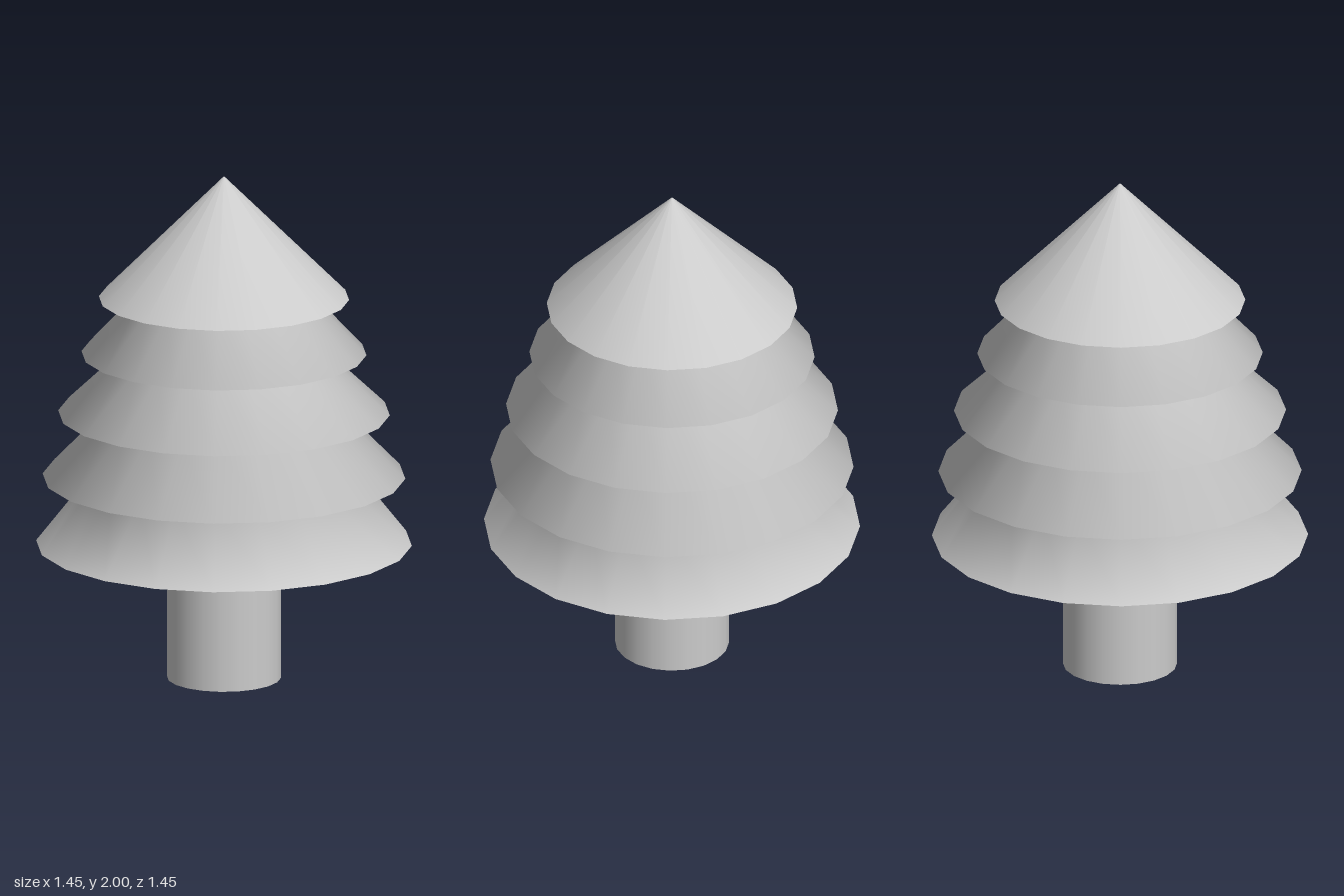
import * as THREE from 'three';

const SIDES = 20;

// Each tier: height of its rim, rim radius, radius where it meets the tier above
const TIERS = [
  { y: 0.535, rim: 0.725, neck: 0.515 },
  { y: 0.802, rim: 0.70, neck: 0.455 },
  { y: 1.055, rim: 0.64, neck: 0.39 },
  { y: 1.293, rim: 0.55, neck: 0.345 },
];
const TOP = { y: 1.513, rim: 0.483, tip: 2 };

export function createModel() {
  const tree = new THREE.Group();
  tree.name = 'tree';
  const material = new THREE.MeshStandardMaterial({ color: 0xcccccc });

  function add(name, geometry, y = 0) {
    const mesh = new THREE.Mesh(geometry, material);
    mesh.name = name;
    mesh.position.y = y;
    tree.add(mesh);
    return mesh;
  }

  // Trunk, standing on the ground and ending at the lowest tier
  const trunkHeight = TIERS[0].y;
  add('trunk', new THREE.CylinderGeometry(0.22, 0.22, trunkHeight, SIDES), trunkHeight / 2);

  // Flat underside of the lowest tier
  const underside = new THREE.CircleGeometry(TIERS[0].rim, SIDES).rotateX(Math.PI / 2);
  add('foliageUnderside', underside, TIERS[0].y);

  // Stacked tiers: slope in to the neck, then flat out to the next rim
  const profile = [];
  TIERS.forEach((tier, i) => {
    const next = TIERS[i + 1] ?? TOP;
    profile.push(new THREE.Vector2(tier.rim, tier.y), new THREE.Vector2(tier.neck, next.y));
  });
  profile.push(new THREE.Vector2(TOP.rim, TOP.y));
  add('foliageTiers', new THREE.LatheGeometry(profile, SIDES));

  // Pointed crown
  const crownHeight = TOP.tip - TOP.y;
  add('foliageCrown', new THREE.ConeGeometry(TOP.rim, crownHeight, SIDES, 1, true), TOP.y + crownHeight / 2);

  return tree;
}
